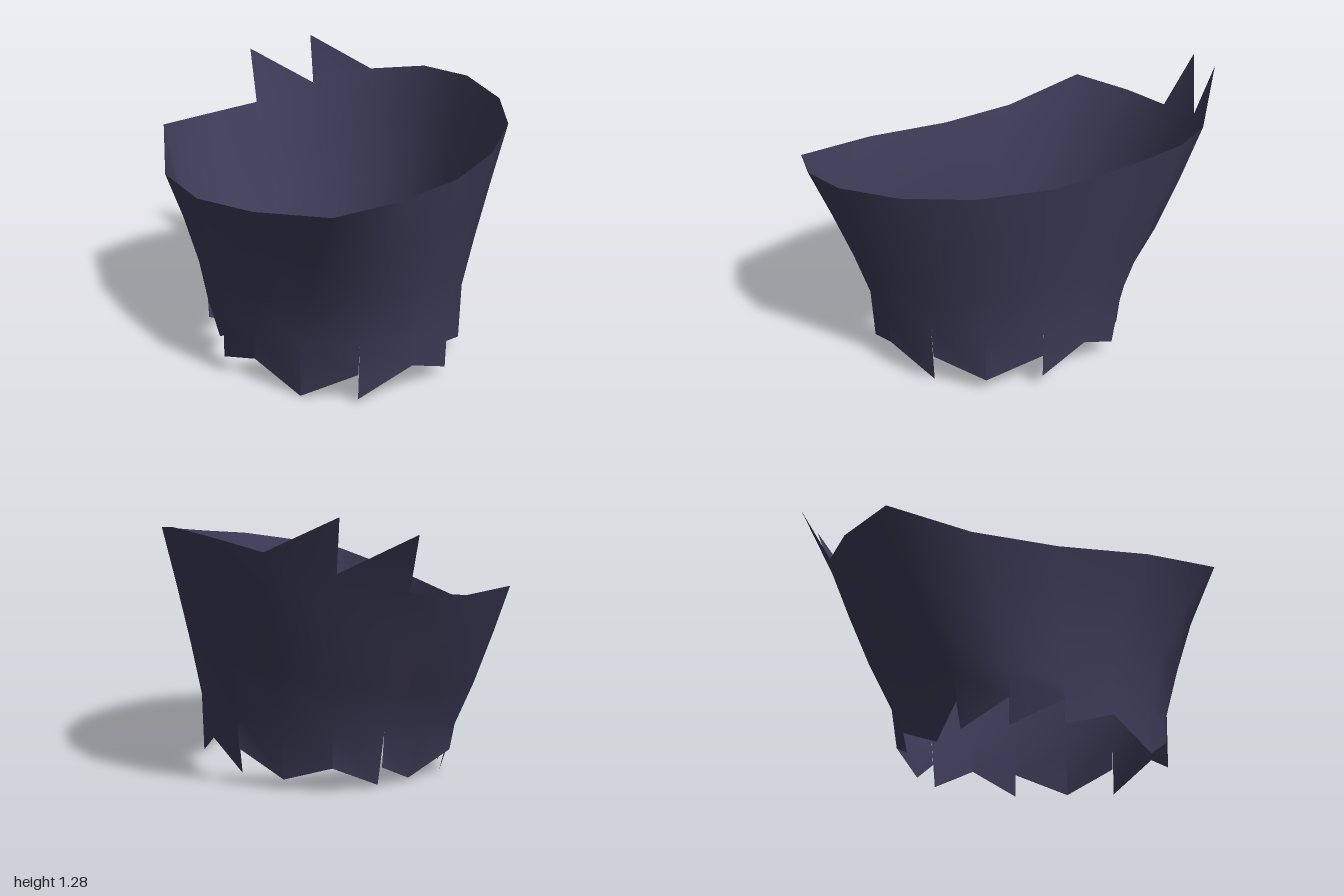
import * as THREE from 'three';

// Each column of the cuff: rim x, y, z, hem x, z, hem height before and after the column, hollowness of the flare
const columns = [
  [-0.01, 0.96, -0.855, -0.08, -0.5, 0.02, 0.11, 0.95],
  [-0.29, 0.936, -0.855, -0.3, -0.425, 0.01, 0.01, 0.88],
  [-0.585, 0.948, -0.745, -0.51, -0.38, 0.12, 0.005, 0.85],
  [-0.725, 0.81, -0.4, -0.62, -0.185, 0.12, 0.01, 1.5],
  [-0.735, 0.815, 0, -0.65, 0.05, 0.13, 0.02, 2.3],
  [-0.685, 0.895, 0.47, -0.61, 0.3, 0.11, 0.11, 2],
  [-0.545, 0.985, 0.905, -0.5, 0.53, 0, 0, 1.6],
  [-0.29, 1.035, 0.995, -0.31, 0.715, 0.14, 0.02, 1.15],
  [-0.01, 1.08, 0.988, -0.06, 0.765, 0.145, 0.145, 1.08],
  [0.265, 1.11, 0.85, 0.18, 0.675, 0.035, 0.165, 1.08],
  [0.51, 1.145, 0.635, 0.37, 0.51, 0.07, 0.07, 1.1],
  [0.67, 1.175, 0.355, 0.5, 0.28, 0.19, 0.075, 1.12],
  [0.73, 1.2, 0.01, 0.53, 0.06, 0.19, 0.19, 1.15],
  [0.695, 1.185, -0.32, 0.49, -0.165, 0.065, 0.185, 0.95],
  [0.54, 1.13, -0.595, 0.34, -0.31, 0.05, 0.05, 0.78],
  [0.29, 1.045, -0.775, 0.15, -0.45, 0.12, 0.12, 0.85],
];

// Height fractions of the rings from rim to just above the hem
const rings = [1, 0.73, 0.43, 0.17];

// Torn spikes on the rim: [left column, right column, tip]
const spikes = [
  [15, 0, [0.03, 1.215, -1]],
  [14, 15, [0.32, 1.285, -0.86]],
];

function cuffGeometry() {
  const positions = [];
  const index = [];
  const stride = rings.length + 2;

  for (const [rx, ry, rz, hx, hz, before, after, hollow] of columns) {
    const base = 0.15 + 0.08 * hx;
    for (const v of rings) {
      const u = ((v - 0.12) / 0.88) ** hollow;
      positions.push(hx + (rx - hx) * u, base + (ry - base) * v, hz + (rz - hz) * u);
    }
    // two hem points per column give the saw-toothed tear; low tips at the back curl inward
    for (const y of [before, after]) {
      const curl = hz < 0 ? 1 - 0.7 * Math.max(0, 0.12 - y) : 1;
      positions.push(hx * curl, y, hz * curl);
    }
  }

  const last = rings.length - 1;
  columns.forEach((_, i) => {
    const a = i * stride;
    const b = ((i + 1) % columns.length) * stride;
    for (let r = 0; r <= last; r++) {
      const lowA = r < last ? a + r + 1 : a + last + 2;
      const lowB = b + r + 1;
      index.push(a + r, lowA, lowB, a + r, lowB, b + r);
    }
  });

  for (const [left, right, tip] of spikes) {
    index.push(left * stride, right * stride, positions.length / 3);
    positions.push(...tip);
  }

  const geometry = new THREE.BufferGeometry();
  geometry.setAttribute('position', new THREE.Float32BufferAttribute(positions, 3));
  geometry.setIndex(index);
  geometry.computeVertexNormals();
  return geometry;
}

export function createModel() {
  const cloth = new THREE.MeshStandardMaterial({ color: 0x3d3b57, side: THREE.DoubleSide });
  cloth.name = 'dark indigo cloth';

  const cuff = new THREE.Mesh(cuffGeometry(), cloth);
  cuff.name = 'tornCuff';

  const group = new THREE.Group();
  group.name = 'tornClothCuff';
  group.add(cuff);
  return group;
}
